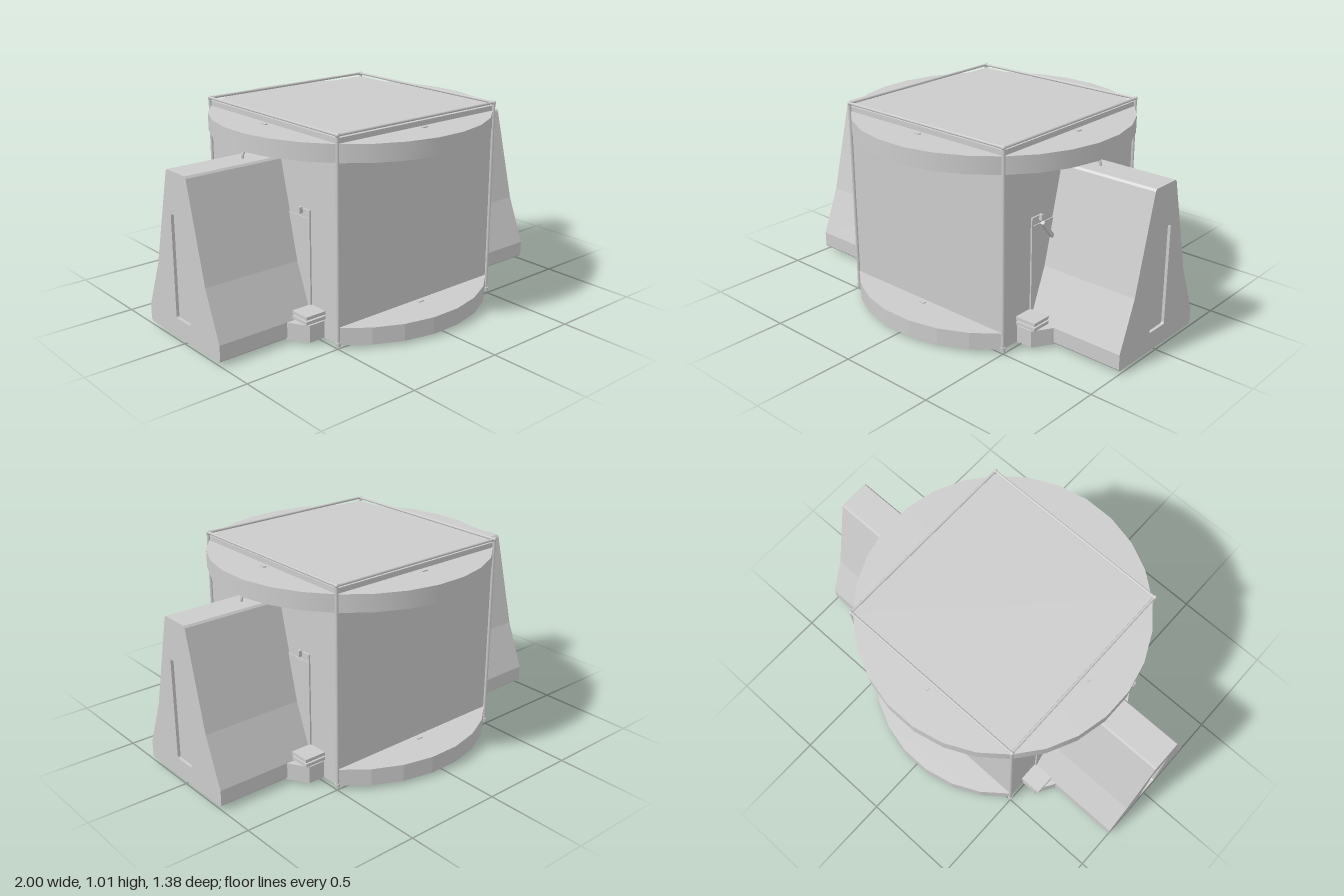
import * as THREE from 'three';

const mat = new THREE.MeshStandardMaterial({ color: 0xcccccc });

function add(parent, name, geo, x = 0, y = 0, z = 0) {
  const m = new THREE.Mesh(geo, mat);
  m.name = name;
  m.position.set(x, y, z);
  parent.add(m);
  return m;
}
const box = (p, name, w, h, d, x, y, z) => add(p, name, new THREE.BoxGeometry(w, h, d), x, y, z);
const polygon = (pts) => new THREE.Shape(pts.map(([a, b]) => new THREE.Vector2(a, b)));

const R = 0.695, HALF = 0.49, SIDES = 28, BASE = 0.015, RIM = 0.085;

// Flat slab drawn in x and z, extruded upward from y
function slab(parent, name, pts, y, height) {
  const geo = new THREE.ExtrudeGeometry(polygon(pts.map(([x, z]) => [x, -z])), { depth: height, bevelEnabled: false });
  geo.rotateX(-Math.PI / 2);
  return add(parent, name, geo, 0, y, 0);
}

// Wedge-shaped side block with a framed recess in its outer end
function makeBarrier() {
  const g = new THREE.Group();
  g.name = 'sideBarrier';
  const half = [[0.285, BASE], [0.295, 0.025], [0.295, 0.1], [0.2, 0.34], [0.083, 0.81], [0.075, 0.82]];
  const outline = [...half, ...half.map(([z, y]) => [-z, y]).reverse()];
  const prism = (name, shape, x, len) => {
    const geo = new THREE.ExtrudeGeometry(shape, { depth: len, bevelEnabled: false });
    geo.rotateY(Math.PI / 2);
    add(g, name, geo, x, 0, 0);
  };
  prism('barrierBody', polygon(outline), 0.49, 0.495);
  const face = polygon(outline);
  const rounded = (w, y0, y1, r) => {
    const s = new THREE.Path();
    s.moveTo(-w + r, y0).lineTo(w - r, y0).quadraticCurveTo(w, y0, w, y0 + r)
      .lineTo(w, y1 - r).quadraticCurveTo(w, y1, w - r, y1)
      .lineTo(-w + r, y1).quadraticCurveTo(-w, y1, -w, y1 - r)
      .lineTo(-w, y0 + r).quadraticCurveTo(-w, y0, -w + r, y0);
    return s;
  };
  face.holes.push(rounded(0.06, 0.11, 0.615, 0.01));
  prism('barrierEnd', face, 0.985, 0.015);
  // lifting loop on top
  add(g, 'liftingLoop', new THREE.TorusGeometry(0.048, 0.007, 8, 20, Math.PI), 0.6, 0.822, 0);
  return g;
}

// One side: barrier, door panel, platforms and stacked plates
function makeSide() {
  const g = new THREE.Group();
  g.name = 'sideAssembly';
  g.add(makeBarrier());
  box(g, 'sidePanel', 0.02, 0.47, 0.6, 0.485, 0.335, 0);
  for (const s of [1, -1]) {
    box(g, 'panelEdge', 0.008, 0.515, 0.006, 0.495, 0.355, s * 0.298);
    box(g, 'panelTop', 0.008, 0.006, 0.05, 0.495, 0.611, s * 0.273);
    box(g, 'panelCatch', 0.02, 0.03, 0.012, 0.498, 0.6, s * 0.235);
    const pts = [[0.48, 0.24], [0.652, 0.24], [0.63, 0.3], [0.575, 0.39], [0.48, 0.39]];
    slab(g, 'platform', pts.map(([x, z]) => [x, s * z]), BASE, RIM);
    box(g, 'plateSpacer', 0.07, 0.05, 0.07, 0.545, 0.12, s * 0.345);
    for (const y of [0.119, 0.143]) box(g, 'stackedPlate', 0.11, 0.016, 0.105, 0.545, y, s * 0.346);
  }
  const lever = box(g, 'lever', 0.018, 0.115, 0.018, 0.508, 0.53, 0.2);
  lever.rotation.x = 0.68;
  return g;
}

export function createModel() {
  const model = new THREE.Group();
  model.name = 'barrierChamber';

  box(model, 'chamberBody', 2 * HALF, 0.97, 2 * HALF, 0, 0.5, 0);

  // full top ring, corners of the body meeting its rim
  add(model, 'topDisc', new THREE.CylinderGeometry(R, R, RIM, SIDES, 1, false, Math.PI / SIDES), 0, 0.9175, 0);

  // bottom rim segments at front and back
  for (const s of [1, -1]) {
    const arc = [];
    for (let i = 0; i <= 7; i++) {
      const a = -Math.PI / 4 + (i / 7) * Math.PI / 2;
      arc.push([R * Math.sin(a), s * R * Math.cos(a)]);
    }
    slab(model, 'bottomRim', arc, BASE, RIM);
  }

  // corner posts, caps and top rails
  for (const sx of [1, -1]) for (const sz of [1, -1]) {
    add(model, 'cornerPost', new THREE.CylinderGeometry(0.008, 0.008, 0.99, 8), sx * 0.494, 0.508, sz * 0.494);
    add(model, 'postCap', new THREE.SphereGeometry(0.011, 10, 8), sx * 0.494, 1, sz * 0.494);
    add(model, 'postFoot', new THREE.CylinderGeometry(0.012, 0.012, 0.02, 8), sx * 0.494, 0.02, sz * 0.494);
  }
  for (let i = 0; i < 4; i++) {
    const side = new THREE.Group();
    side.name = 'railSide';
    side.rotation.y = i * Math.PI / 2;
    const rail = add(side, 'topRail', new THREE.CylinderGeometry(0.007, 0.007, 0.99, 8), 0, 1, 0.494);
    rail.rotation.z = Math.PI / 2;
    for (const y of [0.96, 0.876]) box(side, 'rimStud', 0.03, 0.01, 0.015, 0, y, 0.52);
    if (i % 2 === 0) box(side, 'rimStud', 0.03, 0.01, 0.015, 0, 0.1, 0.52);
    model.add(side);
  }

  // underside: pentagon boss and four square pads
  add(model, 'pentagonBoss', new THREE.CylinderGeometry(0.12, 0.12, 0.016, 5), 0, 0.008, 0);
  for (const sx of [1, -1]) for (const sz of [1, -1]) {
    box(model, 'squarePad', 0.08, 0.012, 0.08, sx * 0.43, 0.01, sz * 0.17);
    box(model, 'smallFoot', 0.03, 0.008, 0.03, sx * 0.36, 0.012, sz * 0.35);
  }

  // matching sides
  const left = makeSide();
  const right = makeSide();
  right.rotation.y = Math.PI;
  model.add(left, right);
  return model;
}
